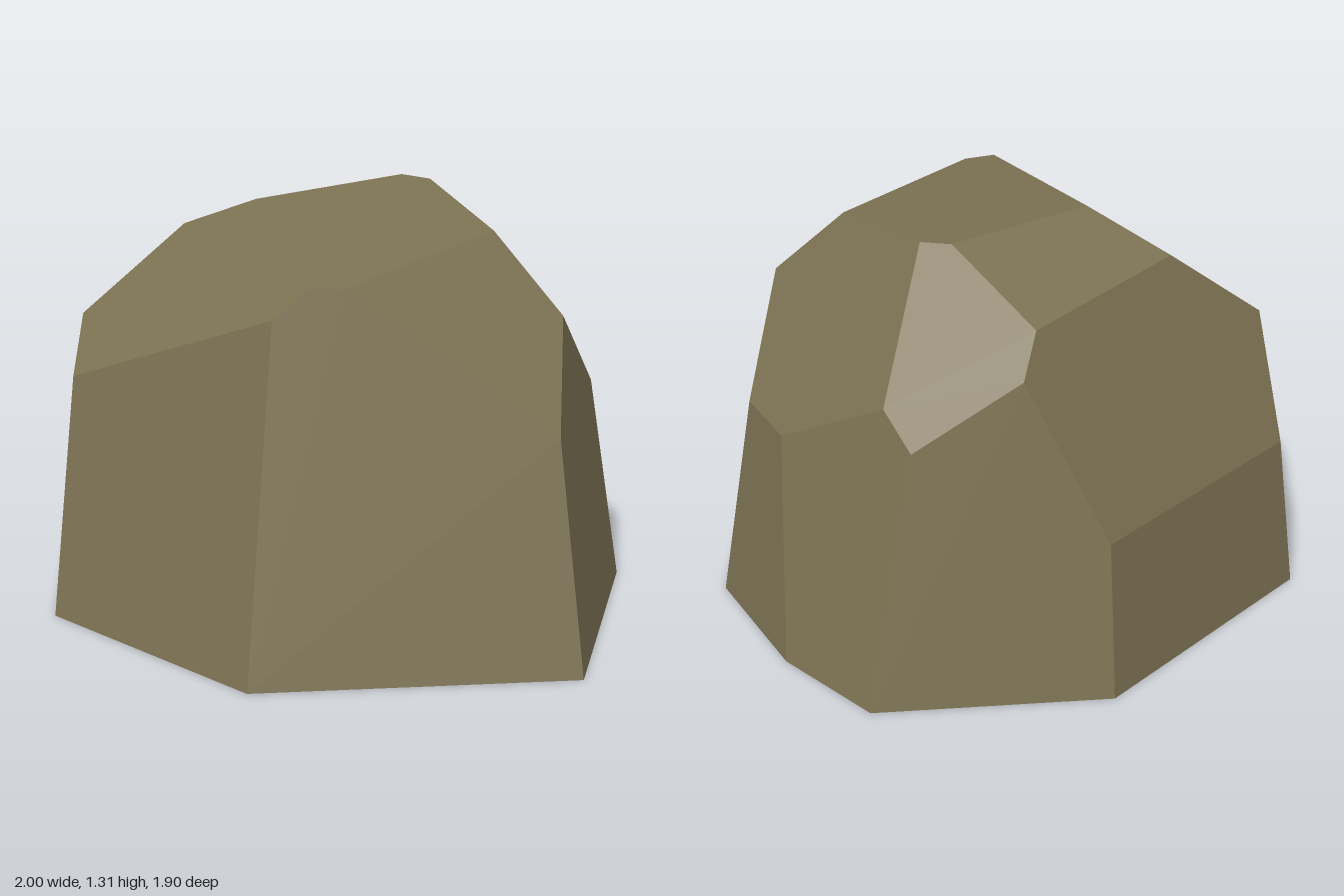
import * as THREE from 'three';

// Corner points of the boulder: capitals on the ground ring, small letters above
const P = {
  A: [-1, 0, 0.39], B: [-0.64, 0, 0.85], C: [0.23, 0, 0.95], D: [1, 0, 0.27],
  E: [0.64, 0, -0.53], F: [0.23, 0, -0.82], G: [-0.15, 0, -0.95], H: [-0.78, 0, -0.53],
  a: [-0.94, 0.51, 0.38], b: [-0.8, 0.905, 0.49], c: [-0.6, 0.8, 0.765], d: [0.17, 1.11, 0.73],
  e: [0.245, 1.2, 0.64], f: [0.32, 1.195, 0.575], g: [0.86, 0.735, 0.21], h: [0.4, 1.24, -0.11],
  i: [0.65, 1.0, -0.13], j: [0.56, 0.685, -0.46], k: [0.35, 0.68, -0.61], l: [-0.07, 0.915, -0.7],
  m: [-0.205, 0.83, -0.775], n: [0, 1.305, -0.335], o: [-0.1, 1.31, -0.315], p: [-0.32, 1.295, 0.18],
  q: [-0.605, 1.175, 0.2], r: [-0.45, 1.15, -0.44], s: [-0.47, 1.035, -0.56], t: [-0.73, 0.51, -0.48],
};

// Flat facets, each a loop of corners
const FACETS = [
  'ABCDEFGH',
  'ABcba', 'BCdc', 'CDgfed', 'DEjig', 'EFkj', 'FGmlk', 'GHtsm', 'HAat', // sides
  'abqrst', 'bcdepq', 'fgih', 'hijkln', 'lmsron', // shoulders
  'efhnop', 'opqr', // crown
];

// Builds a faceted solid with one normal per facet, facing away from its middle
function facetedSolid(points, facets, middle) {
  const position = [];
  const normal = [];
  for (const facet of facets) {
    let loop = [...facet].map((key) => new THREE.Vector3(...points[key]));
    const n = new THREE.Vector3();
    loop.forEach((v, i) => n.add(v.clone().cross(loop[(i + 1) % loop.length])));
    n.normalize();
    if (n.dot(loop[0].clone().sub(middle)) < 0) {
      loop = loop.reverse();
      n.negate();
    }
    for (let i = 1; i < loop.length - 1; i++) {
      for (const v of [loop[0], loop[i], loop[i + 1]]) {
        position.push(v.x, v.y, v.z);
        normal.push(n.x, n.y, n.z);
      }
    }
  }
  const geometry = new THREE.BufferGeometry();
  geometry.setAttribute('position', new THREE.Float32BufferAttribute(position, 3));
  geometry.setAttribute('normal', new THREE.Float32BufferAttribute(normal, 3));
  return geometry;
}

export function createModel() {
  const group = new THREE.Group();
  group.name = 'rock';

  const stone = new THREE.MeshStandardMaterial({ color: 0x7d7354 });
  stone.name = 'stone';

  const boulder = new THREE.Mesh(facetedSolid(P, FACETS, new THREE.Vector3(0, 0.6, 0)), stone);
  boulder.name = 'boulder';
  group.add(boulder);
  return group;
}
